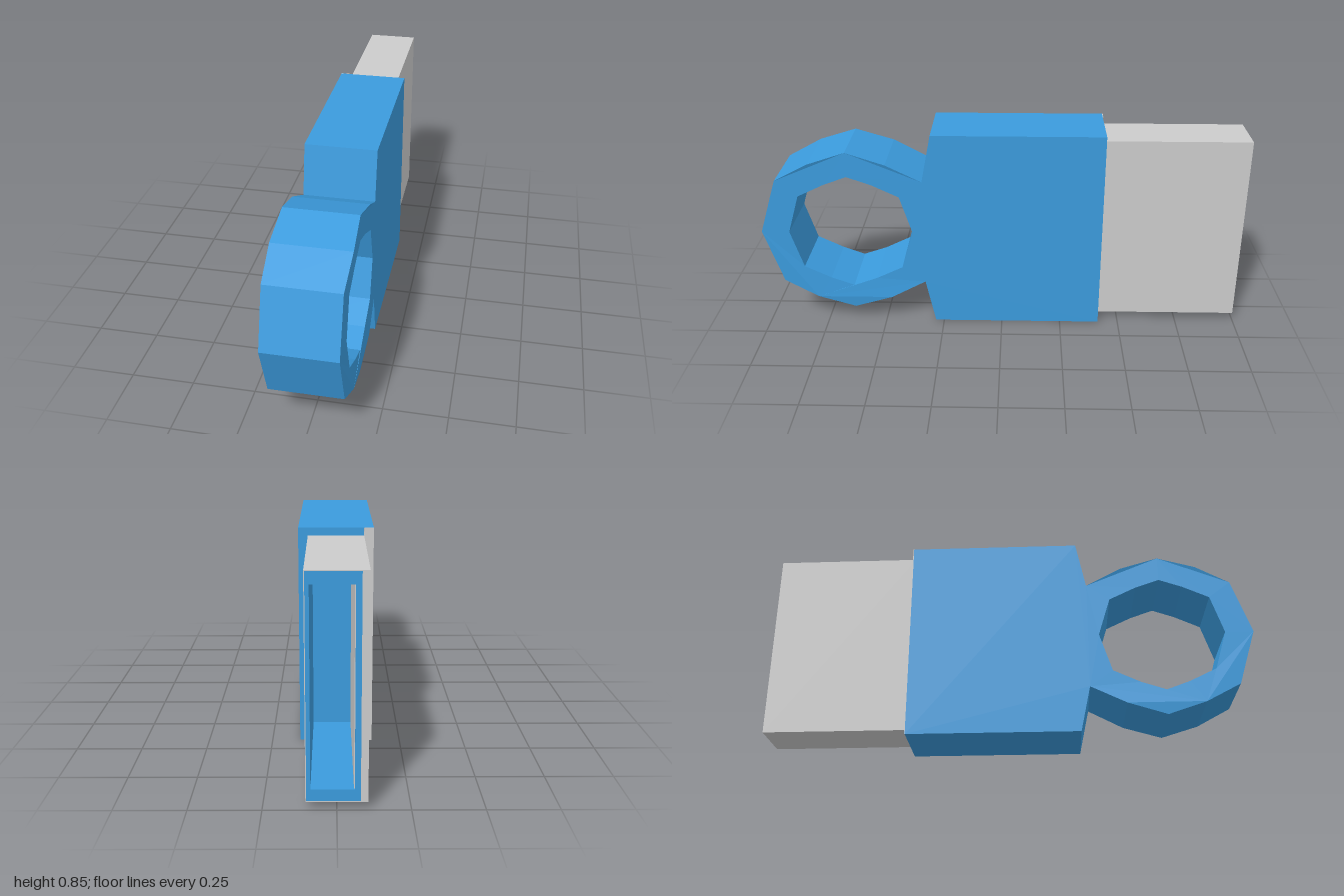
import * as THREE from 'three';

const MID = 0.42; // height of the key ring's centre

// Mirrors an upper half-profile of [z, y] points about MID to close the loop.
function mirrored(upper) {
  const lower = upper.slice().reverse()
    .filter(p => Math.abs(p[1] - MID) > 0.001)
    .map(([z, y]) => [z, Math.max(0, 2 * MID - y)]);
  return [...upper, ...lower].map(([z, y]) => new THREE.Vector2(-z, y));
}

export function createModel() {
  const blue = new THREE.MeshStandardMaterial({ color: 0x3b9bdd });
  blue.name = 'blue plastic';
  const grey = new THREE.MeshStandardMaterial({ color: 0xcccccc });
  grey.name = 'grey metal';

  const model = new THREE.Group();
  model.name = 'connectorStick';
  const add = (name, geometry, material, parent = model) => {
    const mesh = new THREE.Mesh(geometry, material);
    mesh.name = name;
    parent.add(mesh);
  };

  // Casing and key ring share one side profile, with the ring opening cut through
  const outline = new THREE.Shape(mirrored([
    [1, MID], [0.925, 0.65], [0.785, 0.725], [0.63, 0.775], [0.47, 0.725],
    [0.325, 0.65], [0.285, 0.85], [-0.415, 0.85],
  ]));
  // The opening winds the other way so that its walls face inwards
  outline.holes.push(new THREE.Path(mirrored([
    [0.885, MID], [0.835, 0.582], [0.725, 0.635], [0.63, 0.67],
    [0.53, 0.635], [0.42, 0.582], [0.37, MID],
  ]).reverse()));
  const casing = new THREE.ExtrudeGeometry(outline, { depth: 0.282, bevelEnabled: false });
  casing.translate(0, 0, -0.141).rotateY(Math.PI / 2);

  // The ring swells slightly at its shoulders
  const pos = casing.attributes.position;
  for (let i = 0; i < pos.count; i++) {
    const off = Math.abs(pos.getY(i) - MID);
    if (pos.getZ(i) > 0.4 && Math.abs(off - 0.305) < 0.01) pos.setX(i, Math.sign(pos.getX(i)) * 0.147);
  }
  casing.computeVertexNormals();
  add('casingWithKeyRing', casing, blue);

  // Hollow connector: blue inner frame, open at the back
  const plug = new THREE.Group();
  plug.name = 'connector';
  model.add(plug);
  const box = (name, x0, x1, y0, y1, z0, z1, material) => {
    const g = new THREE.BoxGeometry(x1 - x0, y1 - y0, z1 - z0);
    g.translate((x0 + x1) / 2, (y0 + y1) / 2, (z0 + z1) / 2);
    add(name, g, material, plug);
  };
  const back = -1, front = -0.41;
  box('frameTop', -0.08, 0.102, 0.775, 0.817, back, front, blue);
  box('frameBottom', -0.08, 0.102, 0.033, 0.075, back, front, blue);
  box('frameLeft', 0.088, 0.102, 0.075, 0.775, back, front, blue);
  box('frameRight', -0.08, -0.06, 0.075, 0.775, back, front, blue);
  box('innerLiner', -0.06, -0.057, 0.075, 0.775, back + 0.01, front, grey);

  // Metal shell around the frame, with a flange against the casing on one side
  box('shellRight', -0.105, -0.08, 0.03, 0.82, back, front, grey);
  box('shellLeft', 0.102, 0.105, 0.03, 0.82, back, front, grey);
  box('shellTop', -0.08, 0.102, 0.817, 0.82, back, front, grey);
  box('shellBottom', -0.08, 0.102, 0.03, 0.033, back, front, grey);
  box('shellFlange', -0.141, -0.105, 0, 0.85, -0.418, -0.415, grey);

  return model;
}
